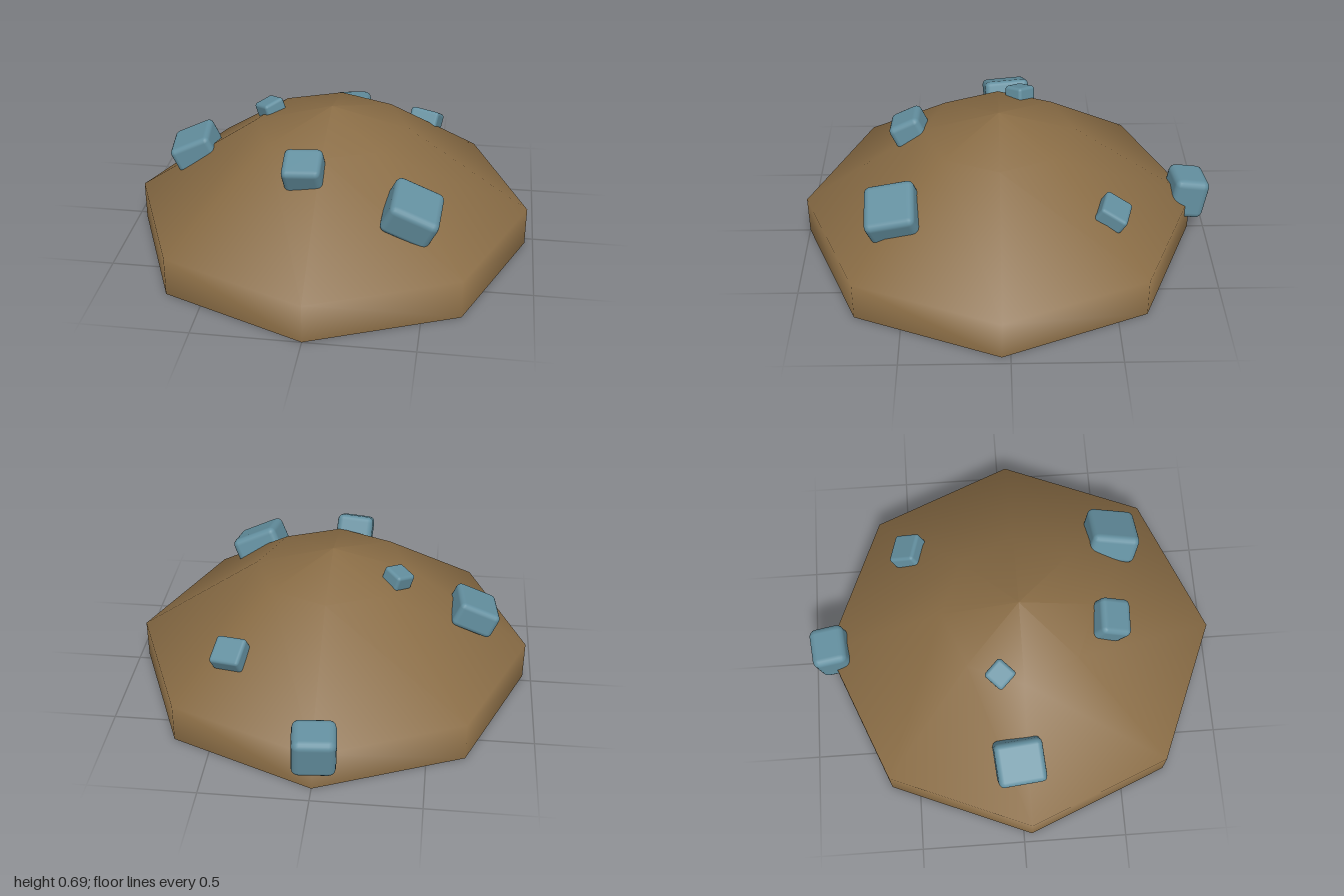
import * as THREE from 'three';
import { RoundedBoxGeometry } from 'three/addons/geometries/RoundedBoxGeometry.js';

export function createModel() {
  const model = new THREE.Group();
  model.name = 'oreMound';

  const dirt = new THREE.MeshStandardMaterial({ color: 0x896c45 });
  dirt.name = 'brown dirt';
  const ore = new THREE.MeshStandardMaterial({ color: 0x638f9f });
  ore.name = 'blue ore';

  // Eight-sided smooth mound: upright rim, slope, shallow peak
  const radius = 0.96, centreZ = 0.04;
  const profile = [[radius, 0], [radius, 0.19], [0.37, 0.59], [0, 0.685]]
    .map(([r, y]) => new THREE.Vector2(r, y));
  const mound = new THREE.Mesh(new THREE.LatheGeometry(profile, 8), dirt);
  mound.name = 'mound';
  mound.position.z = centreZ;
  model.add(mound);

  // Flat underside
  const base = new THREE.Mesh(new THREE.CircleGeometry(radius, 8), dirt);
  base.name = 'underside';
  base.rotation.x = Math.PI / 2;
  base.position.z = centreZ;
  model.add(base);

  // Rounded ore chunks, tilted to lie on the slope
  const chunks = [
    { name: 'frontChunk', size: [0.18, 0.14, 0.16], at: [-0.07, 0.56, 0.472], turn: [0.45, 0, 0.08] },
    { name: 'frontLeftChunk', size: [0.24, 0.16, 0.24], at: [0.43, 0.415, 0.535], turn: [0.25, -0.06, -0.42] },
    { name: 'rightChunk', size: [0.21, 0.13, 0.23], at: [-0.69, 0.405, -0.005], turn: [0.08, 0.12, 0.42] },
    { name: 'smallChunk', size: [0.11, 0.08, 0.11], at: [-0.32, 0.605, -0.07], turn: [0, 0.78, 0.3] },
    { name: 'backLeftChunk', size: [0.15, 0.085, 0.14], at: [0.425, 0.398, -0.485], turn: [-0.48, -0.2, -0.2] },
    { name: 'backChunk', size: [0.2, 0.21, 0.175], at: [-0.01, 0.213, -0.895], turn: [-0.17, 0.1, 0.04] },
  ];
  for (const { name, size, at, turn } of chunks) {
    const bevel = Math.min(...size) * 0.2;
    const chunk = new THREE.Mesh(new RoundedBoxGeometry(...size, 2, bevel), ore);
    chunk.name = name;
    chunk.position.set(...at);
    chunk.rotation.set(...turn, 'XZY');
    model.add(chunk);
  }
  return model;
}
